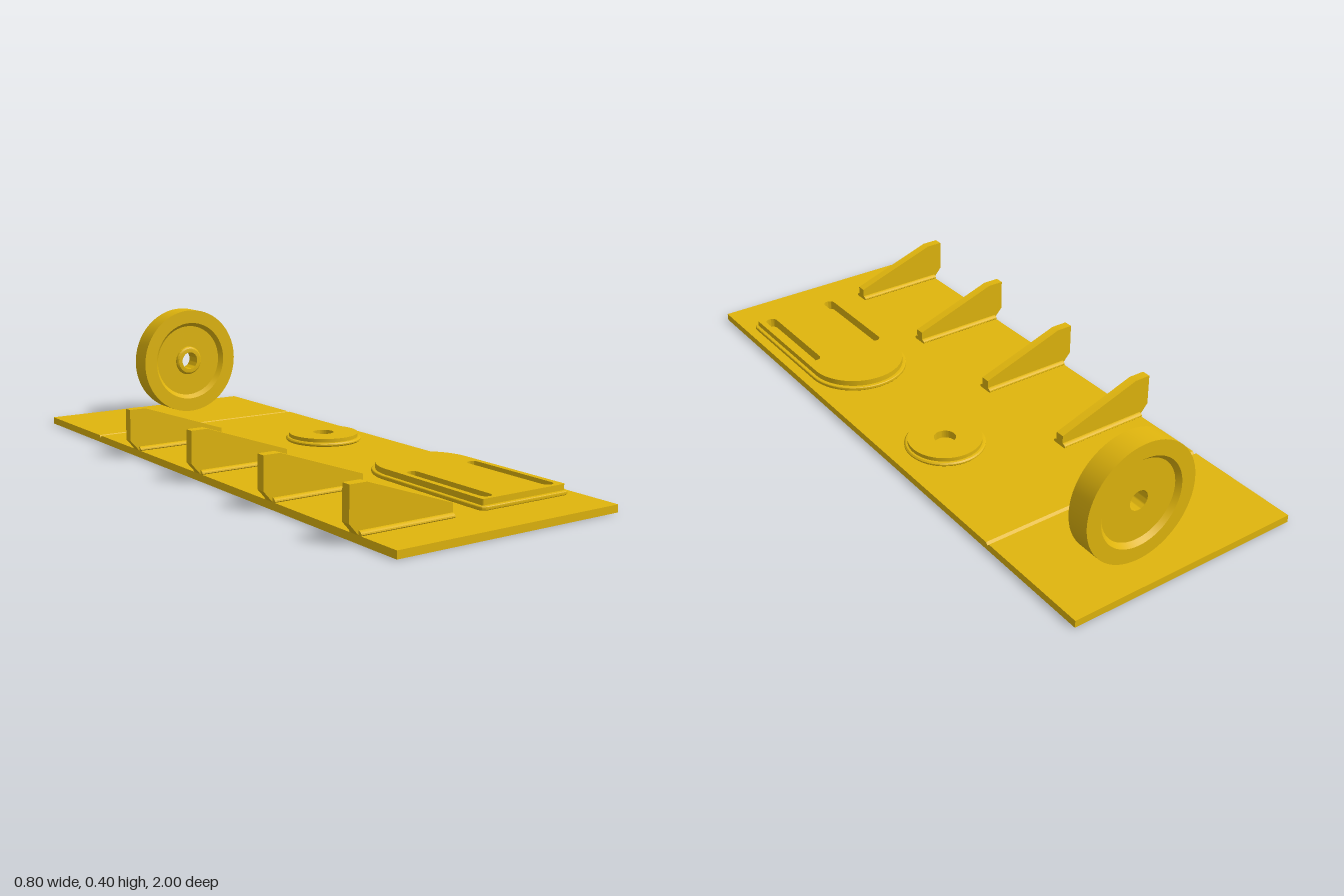
import * as THREE from 'three';
import { toCreasedNormals } from 'three/addons/utils/BufferGeometryUtils.js';

const PLATE = 0.023; // top of the base plate
const material = new THREE.MeshStandardMaterial({ color: 0xe0b50d });

function addMesh(parent, name, geometry) {
  const mesh = new THREE.Mesh(toCreasedNormals(geometry, 0.5), material);
  mesh.name = name;
  parent.add(mesh);
  return mesh;
}

const polygon = (pts) => new THREE.Shape(pts.map(([x, y]) => new THREE.Vector2(x, y)));
const lathe = (pts) => new THREE.LatheGeometry(pts.map(([r, y]) => new THREE.Vector2(r, y)), 72);
const extrude = (shape, depth, options = {}) =>
  new THREE.ExtrudeGeometry(shape, { depth, bevelEnabled: false, curveSegments: 24, ...options });

// Plan outline with a round rear end; shape y becomes z
function archShape(r, zFront, corner) {
  const s = new THREE.Shape();
  s.moveTo(-r, 0.42);
  s.absarc(0, 0.42, r, Math.PI, Math.PI * 2, false);
  s.lineTo(r, zFront - corner);
  s.quadraticCurveTo(r, zFront, r - corner, zFront);
  s.lineTo(-r + corner, zFront);
  s.quadraticCurveTo(-r, zFront, -r, zFront - corner);
  s.closePath();
  return s;
}

function slotPath(x, r, z0, z1) {
  const p = new THREE.Path();
  p.absarc(x, z0 + r, r, Math.PI, Math.PI * 2, false);
  p.absarc(x, z1 - r, r, 0, Math.PI, false);
  p.closePath();
  return p;
}

export function createModel() {
  const group = new THREE.Group();
  group.name = 'bracketPlate';

  // Base plate with a shallow V groove across it
  const plate = extrude(polygon([
    [-1, 0], [1, 0], [1, PLATE], [0.622, PLATE], [0.615, PLATE - 0.007], [0.608, PLATE], [-1, PLATE],
  ]), 0.77);
  plate.rotateY(Math.PI / 2);
  addMesh(group, 'basePlate', plate).position.x = -0.37;

  // Gussets with a weld bead along both sides
  const gussetShape = polygon([
    [-0.37, PLATE], [-0.06, PLATE], [-0.06, 0.062], [-0.345, 0.159], [-0.4, 0.159], [-0.4, 0.057],
  ]);
  const beadShape = polygon([
    [-0.024, PLATE], [0.024, PLATE], [0.027, 0.026], [0.026, 0.03], [0.021, 0.034], [0.015, 0.036],
    [-0.015, 0.036], [-0.021, 0.034], [-0.026, 0.03], [-0.027, 0.026],
  ]);
  for (let i = 0; i < 4; i++) {
    const gusset = new THREE.Group();
    gusset.name = 'gusset' + (i + 1);
    gusset.position.z = -0.348 + i * 0.393;
    addMesh(gusset, 'gussetWeb', extrude(gussetShape, 0.03)).position.z = -0.015;
    const bead = extrude(beadShape, 0.31);
    bead.rotateY(Math.PI / 2);
    addMesh(gusset, 'gussetWeld', bead).position.x = -0.37;
    group.add(gusset);
  }

  // Slotted pad with a round end, and its weld bead
  const pad = new THREE.Group();
  pad.name = 'slottedPad';
  pad.position.x = 0.204;
  const padShape = archShape(0.154, 0.84, 0.006);
  const beadOutline = archShape(0.161, 0.847, 0.02);
  for (const x of [-0.116, 0.116]) {
    padShape.holes.push(slotPath(x, 0.019, 0.48, 0.825));
    beadOutline.holes.push(slotPath(x, 0.03, 0.469, 0.836));
  }
  const padGeometry = extrude(padShape, 0.031);
  padGeometry.rotateX(Math.PI / 2);
  addMesh(pad, 'padBody', padGeometry).position.y = 0.054;
  const padBead = extrude(beadOutline, 0.003, {
    bevelEnabled: true, bevelThickness: 0.005, bevelSize: 0.005, bevelSegments: 3,
  });
  padBead.rotateX(Math.PI / 2);
  addMesh(pad, 'padWeld', padBead).position.y = 0.031;
  group.add(pad);

  // Round boss with a centre hole and weld bead
  const boss = addMesh(group, 'roundBoss', lathe([
    [0.121, 0], [0.125, 0.004], [0.125, 0.008], [0.121, 0.012], [0.115, 0.013],
    [0.115, 0.025], [0.034, 0.025], [0.034, 0],
  ]));
  boss.position.set(0.223, PLATE, -0.142);

  // Upright wheel: recessed on both faces, hub on the front, open bore
  const wheel = lathe([
    [0.031, -0.024], [0.128, -0.024], [0.141, -0.0375], [0.188, -0.0375],
    [0.188, 0.0375], [0.141, 0.0375], [0.128, 0.022], [0.052, 0.022],
    [0.05, 0.028], [0.045, 0.032], [0.038, 0.033], [0.031, 0.033], [0.031, -0.024],
  ]);
  wheel.rotateX(Math.PI / 2);
  addMesh(group, 'wheel', wheel).position.set(0.107, 0.211, -0.867);

  return group;
}
